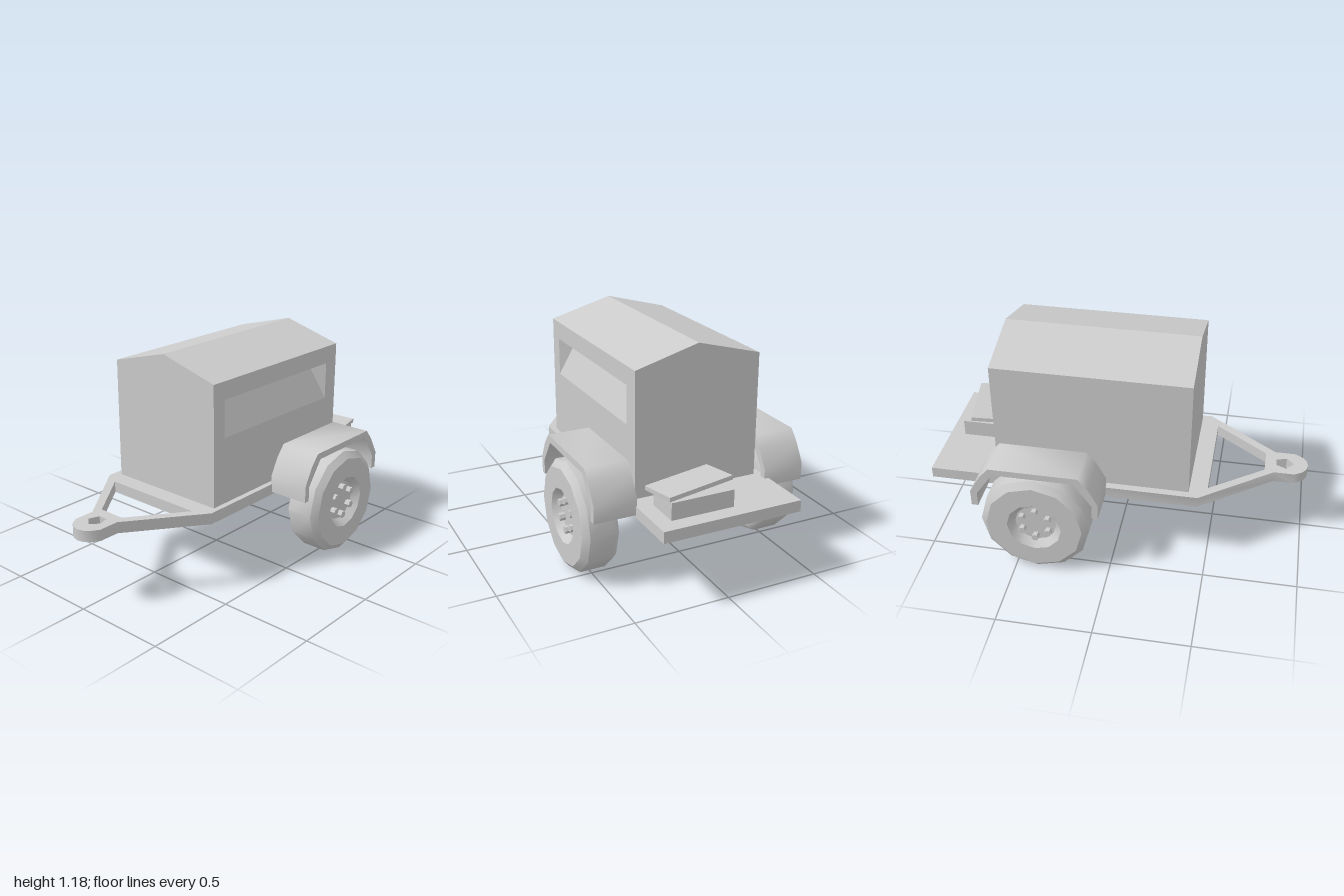
import * as THREE from 'three';
import { toCreasedNormals } from 'three/addons/utils/BufferGeometryUtils.js';

const mat = new THREE.MeshStandardMaterial({ color: 0xcccccc });
const V2 = (pts) => pts.map(([a, b]) => new THREE.Vector2(a, b));

function add(parent, geometry, name, x = 0, y = 0, z = 0) {
  const mesh = new THREE.Mesh(geometry, mat);
  mesh.name = name;
  mesh.position.set(x, y, z);
  parent.add(mesh);
  return mesh;
}

// Flat-faced geometry from convex polygons, corners counter-clockwise from outside
function fromFaces(faces) {
  const pos = [];
  for (const f of faces)
    for (let i = 1; i < f.length - 1; i++) pos.push(...f[0], ...f[i], ...f[i + 1]);
  const g = new THREE.BufferGeometry();
  g.setAttribute('position', new THREE.Float32BufferAttribute(pos, 3));
  g.computeVertexNormals();
  return g;
}

// Profile in (z, y), extruded across x from x0 to x1
function acrossX(pts, x0, x1) {
  const g = new THREE.ExtrudeGeometry(new THREE.Shape(V2(pts)), { depth: x1 - x0, bevelEnabled: false });
  return g.rotateY(-Math.PI / 2).translate(x1, 0, 0);
}

// Flat deck, tapering A-frame and hitch eye in one plate
function chassis() {
  const shape = new THREE.Shape(V2([
    [-0.39, -1], [0.355, -1], [0.355, 0.44], [0.075, 0.82], [0.075, 0.93], [0.05, 0.97], [0.02, 0.992],
    [-0.015, 1], [-0.05, 0.992], [-0.08, 0.97], [-0.105, 0.93], [-0.105, 0.82], [-0.39, 0.44],
  ]));
  shape.holes.push(
    new THREE.Path(V2([[-0.30, 0.485], [0.265, 0.485], [0.055, 0.77], [-0.09, 0.77]])),
    new THREE.Path(V2([[-0.04, 0.83], [0.01, 0.83], [0.025, 0.885], [-0.015, 0.925], [-0.06, 0.885]])),
  );
  const g = new THREE.ExtrudeGeometry(shape, { depth: 0.06, bevelEnabled: false });
  return toCreasedNormals(g.rotateX(Math.PI / 2).translate(0, 0.435, 0), 0.7);
}

// Gabled housing with a sloping recess in the left wall
function housing() {
  const L = 0.325, R = -0.35, M = -0.01, F = 0.39, B = -0.64, lo = 0.435, eave = 1.085, ridge = 1.177;
  const section = (z) => [[R, lo, z], [L, lo, z], [L, eave, z], [M, ridge, z], [R, eave, z]];
  const f = section(F), b = section(B);
  const faces = [f, [...b].reverse()];
  for (const i of [0, 2, 3, 4]) {
    const j = (i + 1) % 5;
    faces.push([f[j], f[i], b[i], b[j]]);
  }
  const wall = [f[1], b[1], b[2], f[2]];
  const rim = [[L, 0.79, 0.31], [L, 0.79, -0.55], [L, 0.99, -0.55], [L, 0.99, 0.31]];
  for (let i = 0; i < 4; i++) {
    const j = (i + 1) % 4;
    faces.push([wall[i], wall[j], rim[j], rim[i]]);
  }
  const back = [L - 0.07, 0.96, -0.5], front = [L - 0.07, 0.96, 0.26];
  faces.push([rim[0], rim[1], back, front], [rim[1], rim[2], back],
    [rim[2], rim[3], front, back], [rim[3], rim[0], front]);
  return fromFaces(faces);
}

// Twelve-sided tyre with a dished hub and six nuts, axis along x
function wheel() {
  const group = new THREE.Group();
  const profile = V2([
    [0, 0.45], [0.11, 0.45], [0.145, 0.41], [0.25, 0.41], [0.275, 0.42], [0.29, 0.44],
    [0.29, 0.575], [0.255, 0.605], [0.145, 0.605], [0.11, 0.565], [0, 0.565],
  ]);
  const tyre = new THREE.LatheGeometry(profile, 12).rotateZ(-Math.PI / 2);
  add(group, toCreasedNormals(tyre, 0.65), 'tyre');
  for (let i = 0; i < 6; i++) {
    const a = (i / 6) * Math.PI * 2;
    const nut = new THREE.CylinderGeometry(0.02, 0.02, 0.03, 6).rotateZ(-Math.PI / 2);
    add(group, toCreasedNormals(nut, 0.5), 'wheelNut', 0.58, 0.08 * Math.cos(a), 0.08 * Math.sin(a));
  }
  return group;
}

export function createModel() {
  const model = new THREE.Group();
  model.name = 'trailer';
  const axleZ = -0.385;

  add(model, chassis(), 'chassis');
  add(model, housing(), 'housing');

  // Axle with a tapered mounting block
  const axle = new THREE.CylinderGeometry(0.045, 0.045, 0.92, 12).rotateZ(Math.PI / 2);
  add(model, toCreasedNormals(axle, 0.65), 'axle', 0, 0.29, axleZ);
  add(model, acrossX([[-0.05, 0.235], [0.05, 0.235], [0.135, 0.38], [-0.135, 0.38]], -0.115, 0.085),
    'axleBlock', 0, 0, axleZ);

  // Wheels and arched mudguards on both sides
  const arch = [
    [-0.045, 0.39], [-0.045, 0.48], [-0.095, 0.575], [-0.145, 0.635], [-0.61, 0.635], [-0.66, 0.575],
    [-0.715, 0.48], [-0.715, 0.39], [-0.68, 0.39], [-0.68, 0.47], [-0.59, 0.6], [-0.17, 0.6],
    [-0.077, 0.47], [-0.077, 0.39],
  ];
  for (const [side, turn, x0] of [['left', 0, 0.35], ['right', Math.PI, -0.592]]) {
    const w = wheel();
    w.name = side + 'Wheel';
    w.position.set(0, 0.29, axleZ);
    w.rotation.y = turn;
    model.add(w);
    add(model, toCreasedNormals(acrossX(arch, x0, x0 + 0.225), 0.9), side + 'Mudguard');
  }

  // Tool box on the rear deck with its lid lying askew
  add(model, new THREE.BoxGeometry(0.335, 0.09, 0.185), 'toolBox', 0.105, 0.48, -0.825);
  const lid = add(model, new THREE.BoxGeometry(0.375, 0.022, 0.197), 'toolBoxLid', 0.115, 0.546, -0.795);
  lid.rotation.set(0.07, 0.16, -0.04, 'YXZ');
  return model;
}
